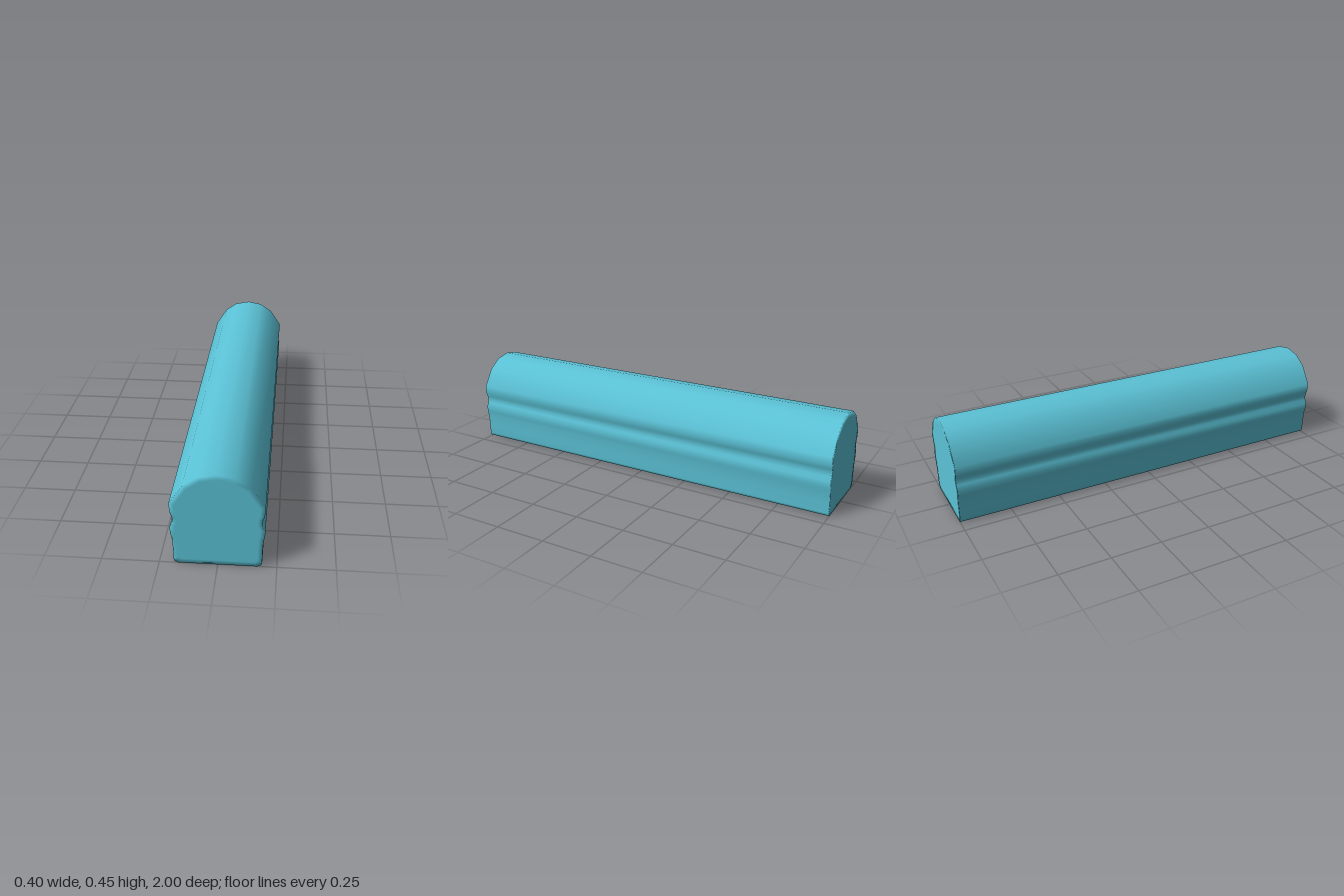
import * as THREE from 'three';

// Right half of the cross-section, from the base up to the crown
const HALF = [
  [0.168, 0], [0.184, 0.007], [0.188, 0.02], [0.188, 0.07], [0.192, 0.133],
  [0.198, 0.154], [0.199, 0.184], [0.189, 0.204], [0.186, 0.222], [0.189, 0.24],
  [0.196, 0.258], [0.199, 0.302], [0.14, 0.391], [0.077, 0.434], [0, 0.449],
];
const CENTRE_Y = 0.21;

function createBarGeometry() {
  // Mirror the half profile (the crown point is shared)
  const profile = [...HALF, ...HALF.slice(0, -1).reverse().map(([x, y]) => [-x, y])];
  const n = profile.length;
  // Front inset, front rim, back rim, back inset: the insets soften the shading at the ends
  const rings = [[1, 0.9], [1, 1], [-1, 1], [-1, 0.9]];
  const positions = [];
  const index = [];
  for (const [z, scale] of rings) {
    for (const [x, y] of profile) {
      positions.push(x * scale, CENTRE_Y + (y - CENTRE_Y) * scale, z);
    }
  }
  const front = positions.length / 3;
  const back = front + 1;
  positions.push(0, CENTRE_Y, 1, 0, CENTRE_Y, -1);

  for (let i = 0; i < n; i++) {
    const j = (i + 1) % n;
    for (let r = 0; r < rings.length - 1; r++) {
      const a = r * n + i, b = r * n + j, c = a + n, d = b + n;
      index.push(a, c, b, b, c, d);
    }
    // Flat end faces
    const last = (rings.length - 1) * n;
    index.push(front, i, j, back, last + j, last + i);
  }
  const geometry = new THREE.BufferGeometry();
  geometry.setAttribute('position', new THREE.Float32BufferAttribute(positions, 3));
  geometry.setIndex(index);
  geometry.computeVertexNormals();
  return geometry;
}

export function createModel() {
  const group = new THREE.Group();
  group.name = 'mouldedBar';
  const bar = new THREE.Mesh(
    createBarGeometry(),
    new THREE.MeshStandardMaterial({ color: 0x5bc2d6 }),
  );
  bar.name = 'bar';
  group.add(bar);
  return group;
}
